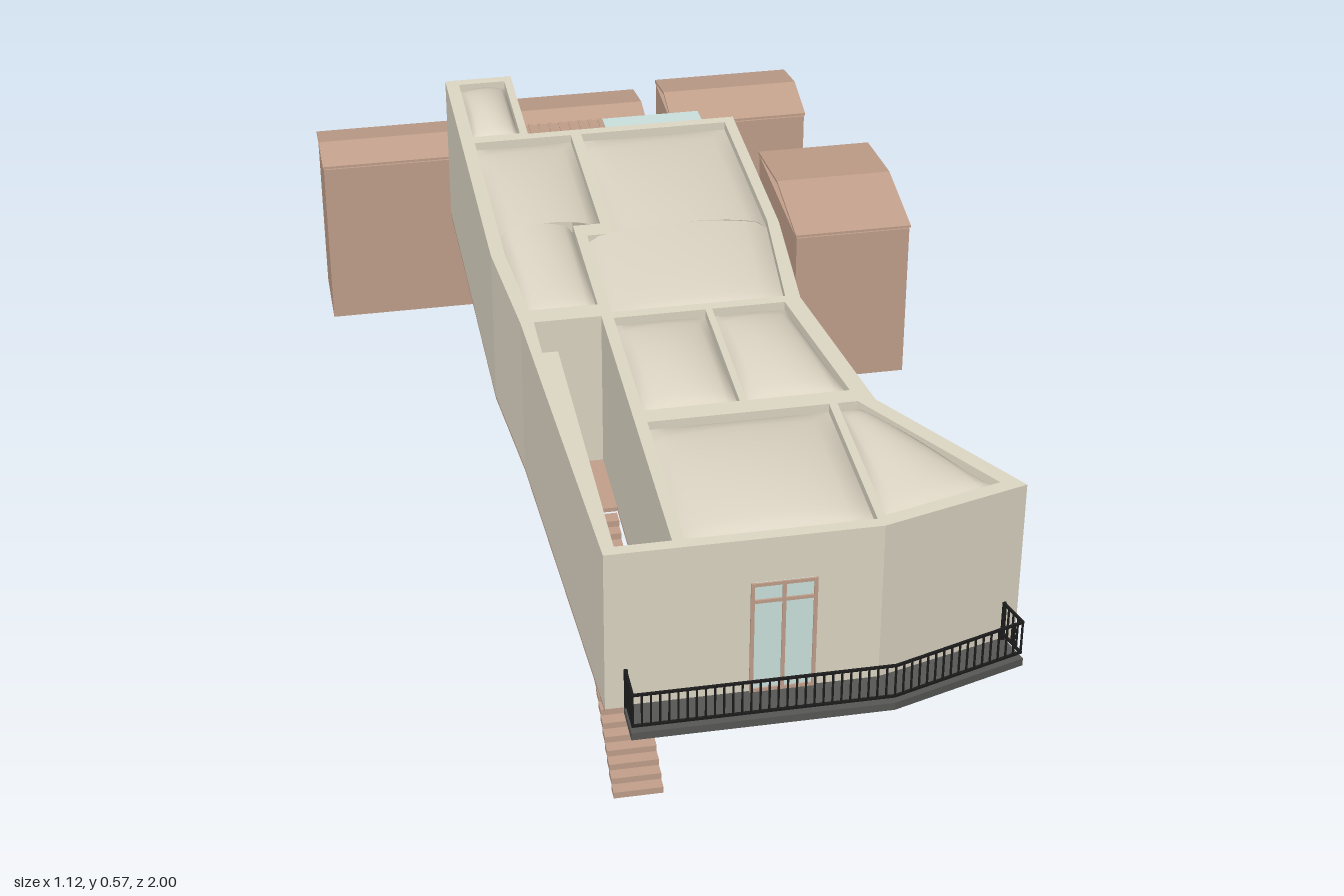
import * as THREE from 'three';
import { mergeGeometries } from 'three/addons/utils/BufferGeometryUtils.js';

const mat = (name, color, side = THREE.FrontSide) => {
  const m = new THREE.MeshStandardMaterial({ color, side });
  m.name = name;
  return m;
};

export function createModel() {
  const root = new THREE.Group();
  const cream = mat('cream render', 0xe0d9c6);
  const pillowMat = mat('pale roof membrane', 0xded6c5, THREE.DoubleSide);
  const brown = mat('clay brown', 0xc4a28d);
  const glass = mat('pale glass', 0xcfe5e1);
  const slate = mat('dark slate', 0x585856);
  const black = mat('black metal', 0x1c1c1c);

  const add = (name, geo, material, parent = root) => {
    const m = new THREE.Mesh(geo, material);
    m.name = name;
    parent.add(m);
    return m;
  };
  const group = (name) => {
    const g = new THREE.Group();
    g.name = name;
    root.add(g);
    return g;
  };
  // Box given by its minimum and maximum corners
  const box = (x0, y0, z0, x1, y1, z1) => new THREE.BoxGeometry(x1 - x0, y1 - y0, z1 - z0)
    .translate((x0 + x1) / 2, (y0 + y1) / 2, (z0 + z1) / 2);
  // Plan outline of [x, z] points raised from y0 to y1; the outline runs opposite to its holes
  const toVec = (pts) => pts.map(([x, z]) => new THREE.Vector2(x, -z));
  const prism = (pts, y0, y1, holes = []) => {
    const s = new THREE.Shape(toVec(pts).reverse());
    holes.forEach((h) => s.holes.push(new THREE.Path(toVec(h))));
    return new THREE.ExtrudeGeometry(s, { depth: y1 - y0, bevelEnabled: false })
      .rotateX(-Math.PI / 2).translate(0, y0, 0);
  };

  // Main raised building: outer wall with open rooms and stairwell
  const outline = [[-0.31, -0.70], [-0.18, -0.70], [-0.18, -0.45], [0.22, -0.45], [0.22, -0.03],
    [0.20, 0.24], [0.25, 0.58], [0.425, 0.862], [0.18, 0.93], [-0.26, 0.93], [-0.29, 0.24], [-0.31, 0]];
  const stairwell = [[-0.267, 0.24], [-0.15, 0.24], [-0.15, 0.91], [-0.24, 0.91], [-0.24, 0.34], [-0.267, 0.34]];
  const rooms = [
    [[-0.285, -0.68], [-0.195, -0.68], [-0.195, -0.455], [-0.285, -0.455]],
    [[-0.285, -0.43], [-0.10, -0.43], [-0.10, -0.08], [-0.15, -0.08], [-0.15, 0.20], [-0.27, 0.20], [-0.285, 0]],
    [[-0.08, -0.43], [0.20, -0.43], [0.20, -0.04], [0.175, 0.23], [-0.13, 0.23], [-0.13, -0.04], [-0.08, -0.04]],
    [[-0.13, 0.25], [0.03, 0.25], [0.03, 0.545], [-0.13, 0.545]],
    [[0.042, 0.25], [0.17, 0.25], [0.215, 0.545], [0.042, 0.545]],
    [[-0.13, 0.58], [0.172, 0.58], [0.172, 0.91], [-0.13, 0.91]],
    [[0.186, 0.58], [0.22, 0.58], [0.385, 0.848], [0.186, 0.903]],
  ];
  add('buildingWalls', prism(outline, 0.26, 0.557, [...rooms, stairwell]), cream);
  add('buildingFloor', prism(outline, 0.255, 0.26, [stairwell]), brown);
  rooms.forEach((r) => add('roomFloorPlate', prism(r, 0.251, 0.255), brown));

  // Pillow roofs: bulging patches between four plan corners.
  // v0..v1 is the part of the bulge profile used, so split roofs join.
  const pillow = (a, b, c, d, v0 = 0, v1 = 1) => {
    const n = 16;
    const g = new THREE.PlaneGeometry(1, 1, n, n);
    const p = g.attributes.position;
    for (let i = 0; i < p.count; i++) {
      const u = p.getX(i) + 0.5;
      const v = 0.5 - p.getY(i);
      const at = (k) => (a[k] * (1 - u) + b[k] * u) * (1 - v) + (d[k] * (1 - u) + c[k] * u) * v;
      const s = Math.sin(Math.PI * u) * Math.sin(Math.PI * (v0 + (v1 - v0) * v));
      p.setXYZ(i, at(0), 0.541 + 0.027 * Math.pow(Math.max(0, s), 0.45), at(1));
    }
    g.computeVertexNormals();
    return g;
  };
  const roofs = group('pillowRoofs');
  [0, 3, 4, 5, 6].forEach((i) => add('pillowRoof', pillow(...rooms[i]), pillowMat, roofs));
  add('pillowRoof', pillow([-0.285, -0.43], [-0.10, -0.43], [-0.10, -0.08], [-0.285, -0.08], 0, 0.55), pillowMat, roofs);
  add('pillowRoof', pillow([-0.285, -0.08], [-0.15, -0.08], [-0.15, 0.20], [-0.27, 0.20], 0.55, 1), pillowMat, roofs);
  add('pillowRoof', pillow([-0.08, -0.43], [0.20, -0.43], [0.20, -0.04], [-0.08, -0.04], 0, 0.58), pillowMat, roofs);
  add('pillowRoof', pillow([-0.13, -0.04], [0.20, -0.04], [0.175, 0.23], [-0.13, 0.23], 0.58, 1), pillowMat, roofs);

  // Stair landing and treads that meet at their corners
  add('stairLanding', prism([[-0.267, 0.24], [-0.15, 0.24], [-0.15, 0.39], [-0.237, 0.39], [-0.237, 0.34],
    [-0.267, 0.34]], 0.252, 0.26), brown);
  const treads = [];
  for (let i = 0; i < 21; i++) {
    const y = 0.006 + i * 0.0119;
    const z = 0.85 - i * 0.0213;
    treads.push(box(-0.235, y, z - 0.024, -0.152, y + 0.012, z));
  }
  add('stairTreads', mergeGeometries(treads), brown);

  // Railing of slim pickets and two rails along a plan path, with stout end posts
  const railing = (name, path, y0, y1, gap) => {
    const parts = [];
    const post = (x, z, w, low) => parts.push(box(x - w, low, z - w, x + w, y1, z + w));
    for (let i = 0; i < path.length - 1; i++) {
      const [ax, az] = path[i];
      const [bx, bz] = path[i + 1];
      const len = Math.hypot(bx - ax, bz - az);
      for (const y of [y0 + 0.013, y1 - 0.002]) {
        parts.push(new THREE.BoxGeometry(len + 0.003, 0.004, 0.004)
          .rotateY(-Math.atan2(bz - az, bx - ax)).translate((ax + bx) / 2, y, (az + bz) / 2));
      }
      const n = Math.round(len / gap);
      for (let k = 0; k < n; k++) post(ax + (bx - ax) * k / n, az + (bz - az) * k / n, 0.0015, y0 + 0.012);
    }
    for (const [x, z] of [path[0], path[path.length - 1]]) post(x, z, 0.003, y0);
    add(name, mergeGeometries(parts), black);
  };

  // Front balcony
  add('frontBalconySlab', prism([[-0.23, 0.93], [-0.23, 1], [0.19, 1], [0.419, 0.927], [0.402, 0.865],
    [0.18, 0.925]], 0.25, 0.264), slate);
  railing('frontRailing', [[-0.227, 0.935], [-0.227, 0.996], [0.19, 0.996], [0.415, 0.924], [0.4, 0.872]],
    0.262, 0.337, 0.0145);

  // Glazed panel in the x-y plane with a thin brown frame, facing +z
  const glazing = (name, w, h, columns, transom) => {
    const g = group(name);
    add('pane', box(-w / 2, 0, 0, w / 2, h, 0.003), glass, g);
    const t = 0.003;
    const bars = [];
    for (let i = 0; i <= columns; i++) {
      const x = -w / 2 + w * i / columns;
      bars.push(box(x - t, 0, 0, x + t, h, 0.006));
    }
    for (const y of [t, transom, h - t]) bars.push(box(-w / 2, y - t, 0, w / 2, y + t, 0.006));
    add('frame', mergeGeometries(bars), brown, g);
    return g;
  };
  glazing('frontDoor', 0.1, 0.211, 2, 0.176).position.set(0.023, 0.264, 0.928);
  add('backWindow', box(-0.242, 0.392, -0.7025, -0.21, 0.452, -0.699), glass);

  // Rear terrace with a glazed room
  add('terraceSlab', box(-0.18, 0.252, -0.70, 0.22, 0.266, -0.45), cream);
  const backGlass = glazing('conservatoryBack', 0.362, 0.186, 6, 0.135);
  backGlass.position.set(0.008, 0.266, -0.66);
  backGlass.rotation.y = Math.PI;
  const sideGlass = glazing('conservatorySide', 0.208, 0.188, 3, 0.135);
  sideGlass.position.set(0.187, 0.266, -0.557);
  sideGlass.rotation.y = Math.PI / 2;
  const slope = (g) => g.rotateX(-0.05).translate(0, 0.46, -0.565);
  add('glassRoof', slope(box(0, -0.003, -0.112, 0.195, 0.003, 0.115)), glass);
  const slats = [box(-0.172, -0.003, -0.112, 0, 0.002, 0.115)];
  for (let i = 0; i < 9; i++) {
    const x = -0.17 + i * 0.02;
    slats.push(box(x, 0.001, -0.112, x + 0.008, 0.004, 0.115));
  }
  add('slattedRoof', slope(mergeGeometries(slats)), brown);
  railing('terraceRailing', [[0.21, -0.455], [0.21, -0.69], [-0.17, -0.69]], 0.264, 0.34, 0.015);

  // Clay houses with thin open-ended ridge roofs
  const house = (x0, x1, z0, z1, wall, rise) => {
    const g = group('house');
    add('houseWalls', box(x0 + 0.002, 0, z0 + 0.002, x1 - 0.002, wall, z1 - 0.002), brown, g);
    const half = (z1 - z0) / 2;
    const e = 0.003;
    const t = 0.005;
    const profile = new THREE.Shape(toVec([[-half, -e], [half, -e], [half, -e - t], [0, -e - t - rise],
      [-half, -e - t]]));
    profile.holes.push(new THREE.Path(toVec([[-half + 0.008, -e - 0.0005], [0, -e - rise],
      [half - 0.008, -e - 0.0005]])));
    const roof = new THREE.ExtrudeGeometry(profile, { depth: x1 - x0, bevelEnabled: false })
      .rotateY(Math.PI / 2).translate(x0, wall, (z0 + z1) / 2);
    add('houseRoof', roof, brown, g);
  };
  house(-0.56, -0.22, -0.922, -0.763, 0.347, 0.016);
  house(-0.218, 0.118, -1, -0.797, 0.345, 0.022);
  house(0.159, 0.438, -0.966, -0.76, 0.38, 0.022);
  house(0.329, 0.56, -0.705, -0.35, 0.329, 0.026);

  return root;
}
